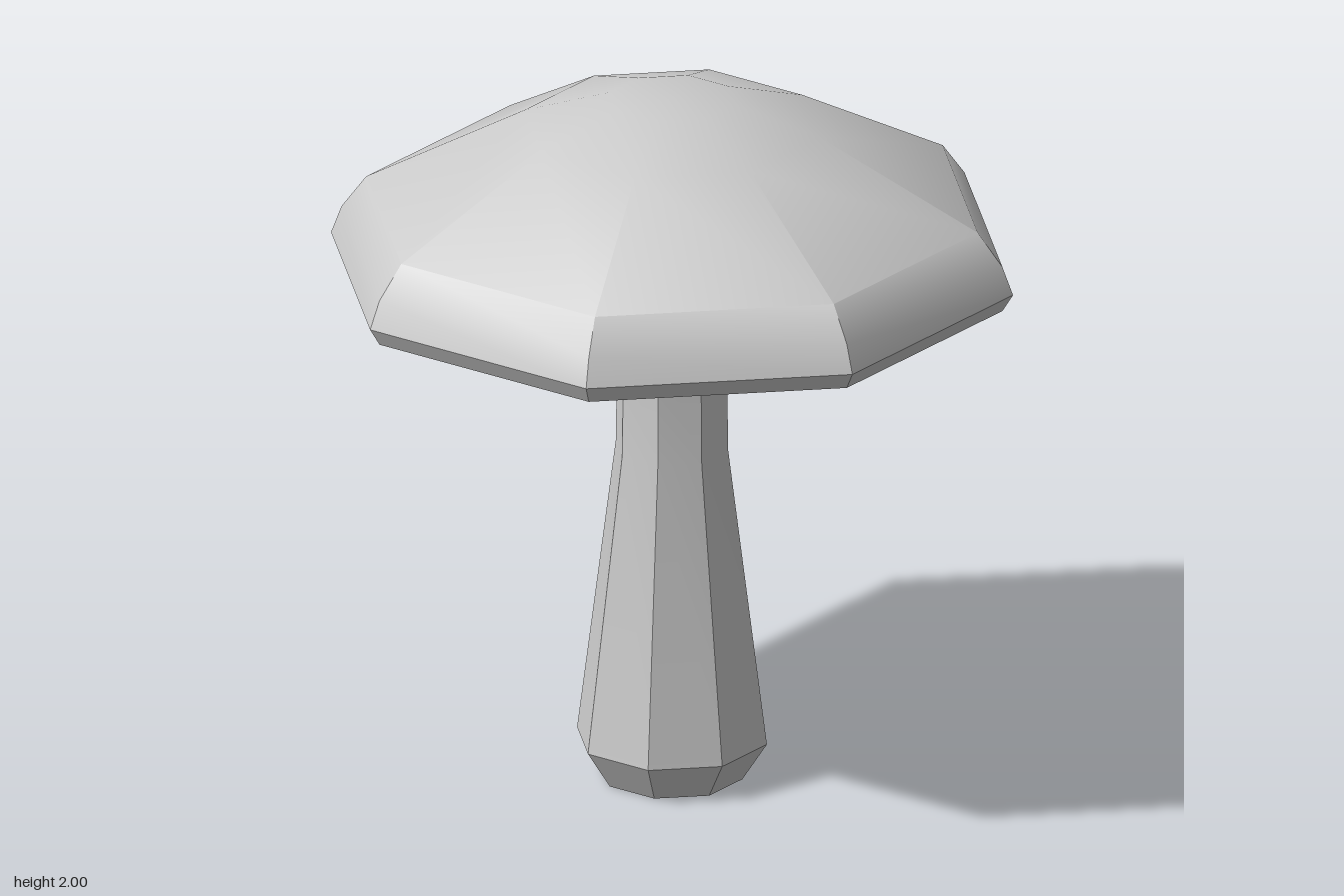
import * as THREE from 'three';
import { toCreasedNormals } from 'three/addons/utils/BufferGeometryUtils.js';

const SIDES = 8;

// Eight-sided turned part; profile runs up the outside as [radius, height]
function turned(name, profile) {
  const points = profile.map(([r, y]) => new THREE.Vector2(r, y));
  const geometry = toCreasedNormals(new THREE.LatheGeometry(points, SIDES), Math.PI / 6);
  const material = new THREE.MeshStandardMaterial({ color: 0xcccccc });
  const mesh = new THREE.Mesh(geometry, material);
  mesh.name = name;
  return mesh;
}

export function createModel() {
  const mushroom = new THREE.Group();
  mushroom.name = 'mushroom';

  // Stem with a bulbous foot, reaching up into the cap
  mushroom.add(turned('stem', [
    [0, 0], [0.2, 0], [0.27, 0.11], [0.16, 0.97], [0.155, 1.3], [0.15, 1.79],
  ]));

  // Hollow skirt hanging around the stem: down the inside, up the outside
  mushroom.add(turned('skirt', [
    [0.15, 1.56], [0.21, 1.36], [0.22, 1.3],
    [0.25, 1.3], [0.265, 1.33], [0.235, 1.46], [0.15, 1.63],
  ]));

  // Cap: hollow underside, flat rim, then the domed top
  mushroom.add(turned('cap', [
    [0, 1.78], [0.2, 1.78], [0.44, 1.73], [0.7, 1.6], [0.78, 1.46],
    [0.94, 1.46], [0.97, 1.51], [0.94, 1.59], [0.87, 1.685],
    [0.42, 1.925], [0.18, 2], [0, 2],
  ]));

  return mushroom;
}
